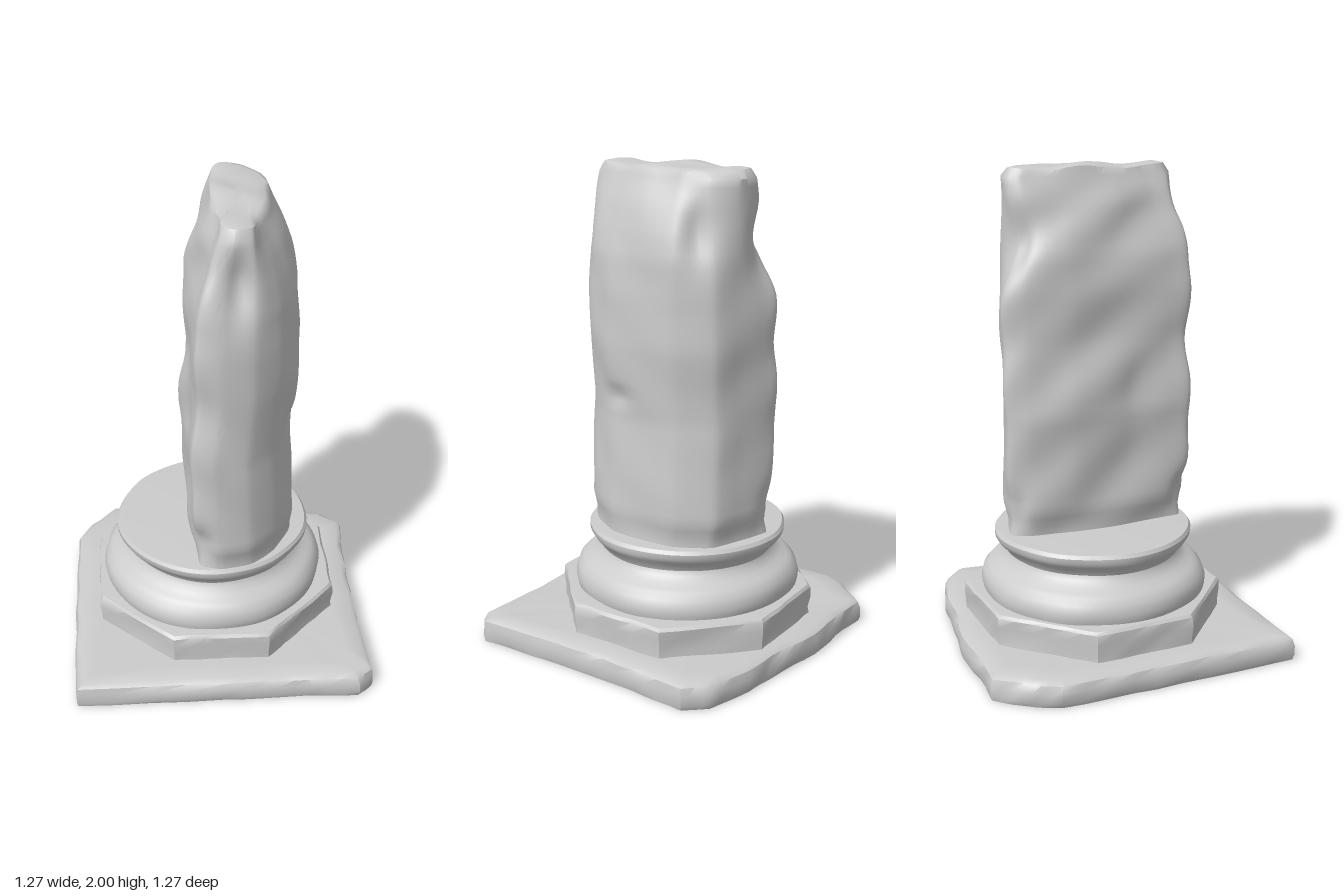
import * as THREE from 'three';
import { toCreasedNormals } from 'three/addons/utils/BufferGeometryUtils.js';

const CX = -0.015, CZ = -0.025; // axis of the mouldings
const stone = new THREE.MeshStandardMaterial({ color: 0xcccccc, roughness: 0.9 });

// Smooth, repeatable surface wobble in about -1..1
const wobble = (x, y, z) =>
  (Math.sin(9 * x + 13 * y + 1.3) + Math.sin(11 * z - 8 * y + 4.1) + Math.sin(17 * x - 14 * z + 19 * y)) / 3;

// Linear lookup in a list of [key, value] pairs
function lookup(table, k) {
  for (let i = 1; i < table.length; i++) {
    const [k0, v0] = table[i - 1], [k1, v1] = table[i];
    if (k <= k1) return v0 + (v1 - v0) * Math.max(0, (k - k0) / (k1 - k0));
  }
  return table[table.length - 1][1];
}

// Skin a stack of closed rings, bottom to top, and cap both ends
function loft(rings, crease) {
  const n = rings[0].length, pos = [], idx = [];
  for (const ring of rings) for (const p of ring) pos.push(p.x, p.y, p.z);
  for (let r = 0; r < rings.length - 1; r++) {
    for (let i = 0; i < n; i++) {
      const a = r * n + i, b = r * n + (i + 1) % n;
      idx.push(a, b, b + n, a, b + n, a + n);
    }
  }
  for (const [r, up] of [[0, false], [rings.length - 1, true]]) {
    const c = rings[r].reduce((s, p) => s.add(p), new THREE.Vector3()).divideScalar(n);
    const ci = pos.length / 3;
    pos.push(c.x, c.y, c.z);
    for (let i = 0; i < n; i++) {
      const a = r * n + i, b = r * n + (i + 1) % n;
      if (up) idx.push(ci, a, b); else idx.push(ci, b, a);
    }
  }
  const g = new THREE.BufferGeometry();
  g.setAttribute('position', new THREE.Float32BufferAttribute(pos, 3));
  g.setIndex(idx);
  return toCreasedNormals(g, crease);
}

// Split every side of an [x, z] outline into equal steps
function subdivide(outline, steps) {
  const out = [];
  outline.forEach(([x, z], i) => {
    const [x1, z1] = outline[(i + 1) % outline.length];
    for (let s = 0; s < steps; s++) out.push([x + (x1 - x) * s / steps, z + (z1 - z) * s / steps]);
  });
  return out;
}

// Worn block: outline stacked through [inset, y] levels
function wornBlock(outline, levels, rough, crease) {
  const rings = levels.map(([inset, y], l) => outline.map(([x, z]) => {
    const len = Math.hypot(x, z);
    const k = 1 - (inset + rough * wobble(x * 2, y * 3, z * 2)) / len;
    const lift = l === 0 ? 0 : rough * 0.4 * wobble(x, 0.5, z);
    return new THREE.Vector3(x * k, y + lift, z * k);
  }));
  return loft(rings, crease);
}

// Closed smooth curve through [x, z] points
const closedCurve = pts => new THREE.CatmullRomCurve3(
  pts.map(([x, z]) => new THREE.Vector3(x, 0, z)), true, 'catmullrom', 0.3);

function shaftGeometry() {
  // Half-round section of the standing shaft, and the narrow ridge it breaks to
  const lower = closedCurve([[-0.09, 0.37], [0, 0.395], [0.13, 0.365], [0.24, 0.27], [0.32, 0.12],
    [0.335, -0.05], [0.325, -0.19], [0.24, -0.33], [0.12, -0.375], [-0.05, -0.42],
    [-0.1, -0.34], [-0.125, -0.15], [-0.11, 0.1], [-0.1, 0.28]]);
  const upper = closedCurve([[0, 0.29], [0.05, 0.34], [0.12, 0.32], [0.15, 0.22], [0.18, 0.1],
    [0.21, -0.03], [0.225, -0.17], [0.2, -0.28], [0.12, -0.36], [0.03, -0.38],
    [-0.01, -0.33], [-0.02, -0.15], [-0.02, 0.05], [0, 0.2]]);
  const blend = [[1.5, 0], [1.65, 0.1], [1.75, 0.3], [1.85, 0.58], [1.95, 1]];
  const shift = [[0.5, 0], [0.75, -0.01], [1, -0.022], [1.3, 0], [2, 0]];
  const swell = [[0.48, 0.95], [0.53, 0.95], [0.6, 1.01], [0.8, 1], [2, 1]];
  // Chips: centre x, y, z, radius, height, depth
  const chips = [
    [0.06, 1.78, 0.38, 0.07, 0.14, 0.06],
    [-0.05, 1.72, -0.42, 0.1, 0.16, 0.07],
    [-0.09, 0.62, 0.37, 0.06, 0.08, 0.04],
    [-0.07, 0.6, -0.4, 0.07, 0.09, 0.04],
    [0.33, 1.08, 0.1, 0.07, 0.03, 0.025],
    [0.25, 1.75, -0.28, 0.06, 0.12, 0.04],
    [-0.12, 1.05, 0.15, 0.1, 0.15, 0.02],
  ];
  const N = 96, mid = new THREE.Vector3(0.1, 0, 0), rings = [];
  const place = (i, y) => {
    const t = i / N;
    const p = lower.getPoint(t).lerp(upper.getPoint(t), lookup(blend, y));
    p.sub(mid).multiplyScalar(lookup(swell, y)).add(mid);
    p.x += lookup(shift, y);
    // The broken flat side is rougher than the dressed round side
    const flat = THREE.MathUtils.smoothstep(-p.x, -0.02, 0.07);
    let push = wobble(p.x, y, p.z) * (0.006 + 0.01 * flat + 0.012 * lookup(blend, y));
    for (const [x, cy, z, r, h, depth] of chips) {
      const d = ((p.x - x) ** 2 + (p.z - z) ** 2) / (r * r) + ((y - cy) / h) ** 2;
      push -= depth * Math.exp(-d);
    }
    const out = p.clone().sub(mid).normalize();
    p.addScaledVector(out, push);
    p.y = y;
    return p;
  };
  for (let j = 0; j <= 48; j++) {
    const y = 0.48 + (1.95 - 0.48) * j / 48;
    rings.push(Array.from({ length: N }, (_, i) => place(i, y)));
  }
  // Uneven broken crown
  const rim = rings[rings.length - 1];
  for (const [k, y] of [[0.93, 1.975], [0.8, 1.985], [0.5, 1.985], [0.2, 1.985]]) {
    rings.push(rim.map(p => {
      const q = new THREE.Vector3(0.09 + (p.x - 0.09) * k, y, -0.02 + (p.z + 0.02) * k);
      q.y += 0.015 * wobble(q.x, 1, q.z * 1.5);
      return q;
    }));
  }
  return loft(rings, 0.7);
}

function mouldingGeometry() {
  const profile = [[0, 0.2], [0.46, 0.2], [0.472, 0.24], [0.476, 0.27], [0.465, 0.31], [0.442, 0.335],
    [0.425, 0.345], [0.4, 0.36], [0.375, 0.38], [0.367, 0.4], [0.38, 0.425], [0.402, 0.445],
    [0.414, 0.465], [0.415, 0.485], [0.405, 0.499], [0.39, 0.5], [0, 0.5]];
  const g = new THREE.LatheGeometry(profile.map(([r, y]) => new THREE.Vector2(r, y)), 72);
  const p = g.attributes.position;
  for (let i = 0; i < p.count; i++) {
    const x = p.getX(i), y = p.getY(i), z = p.getZ(i);
    const k = 1 + 0.014 * wobble(x, y, z);
    p.setXYZ(i, x * k, y, z * k);
  }
  g.deleteAttribute('normal');
  return toCreasedNormals(g, 0.6);
}

export function createModel() {
  const group = new THREE.Group();
  const add = (name, geometry) => {
    const mesh = new THREE.Mesh(geometry, stone);
    mesh.name = name;
    group.add(mesh);
    return mesh;
  };

  // Square slab with worn corners
  const slab = [[-0.63, 0], [-0.615, 0.5], [-0.605, 0.63], [0, 0.63], [0.3, 0.62], [0.57, 0.625],
    [0.635, 0.57], [0.625, 0.4], [0.615, 0.1], [0.615, -0.2], [0.63, -0.45], [0.55, -0.53],
    [0.35, -0.585], [0.2, -0.595], [-0.08, -0.64], [-0.35, -0.625], [-0.47, -0.635], [-0.58, -0.5], [-0.635, -0.4]];
  add('baseSlab', wornBlock(subdivide(slab, 4),
    [[0.008, 0], [0, 0.02], [0, 0.06], [0.01, 0.09], [0.035, 0.103], [0.12, 0.104]], 0.007, 0.7));

  // Eight-sided plinth
  const octagon = [[-0.51, 0.21], [-0.2, 0.485], [0.2, 0.485], [0.505, 0.17], [0.497, -0.25],
    [0.19, -0.54], [-0.22, -0.52], [-0.525, -0.21]];
  add('octagonalPlinth', wornBlock(subdivide(octagon, 6),
    [[0, 0.08], [0.005, 0.13], [0, 0.18], [0, 0.22], [0.01, 0.232], [0.06, 0.235]], 0.006, 0.6));

  // Round mouldings
  add('roundMouldings', mouldingGeometry()).position.set(CX, 0, CZ);

  // Broken shaft
  add('brokenShaft', shaftGeometry());
  return group;
}
